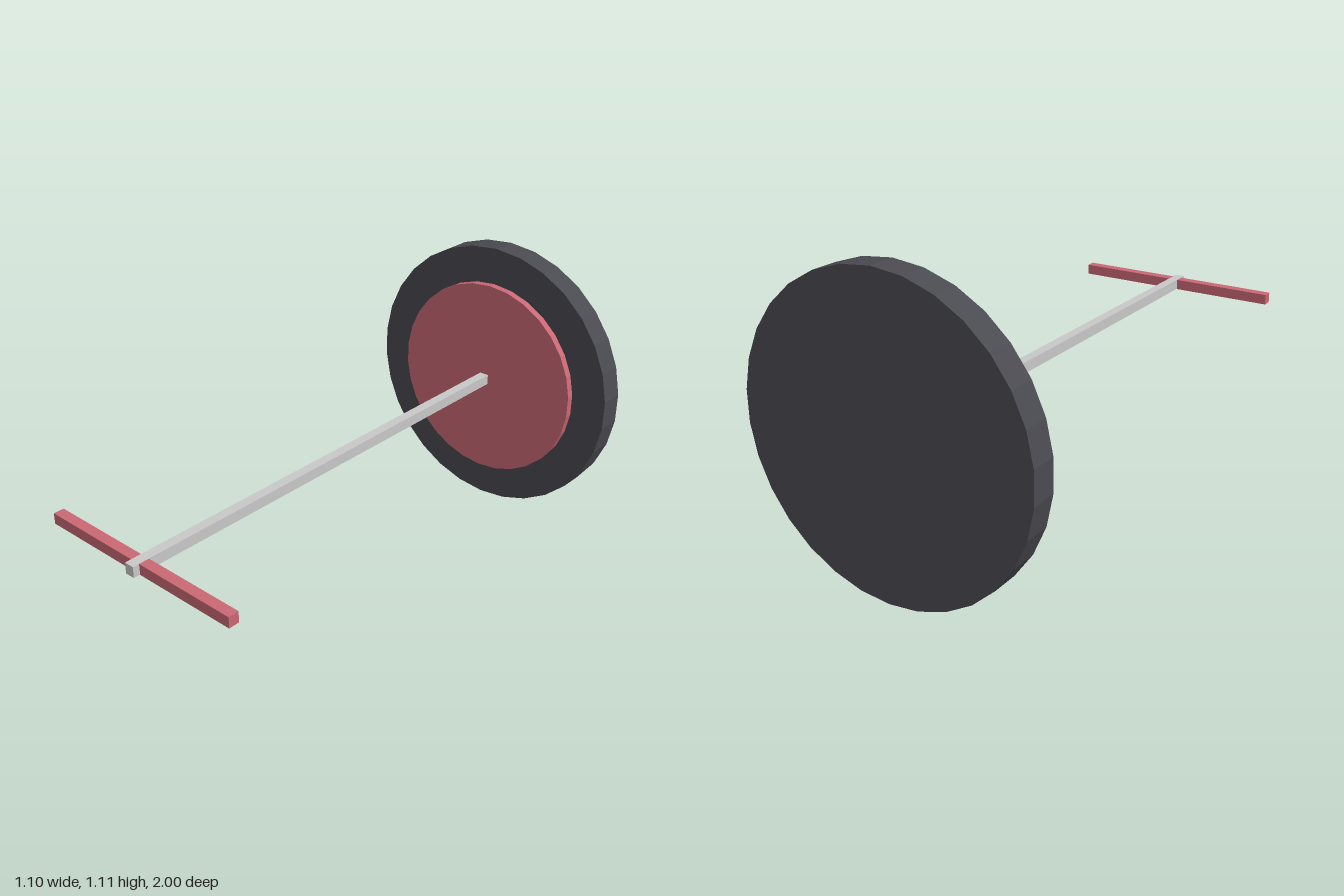
import * as THREE from 'three';

const material = (name, color, flatShading = true) => {
  const m = new THREE.MeshStandardMaterial({ color, flatShading });
  m.name = name;
  return m;
};

export function createModel() {
  const group = new THREE.Group();
  const charcoal = material('charcoal', 0x4a4a51);
  const red = material('red', 0xca6874);
  const grey = material('grey', 0xc8c8c8);
  const axisY = 0.554;

  const add = (name, geometry, mat, y, z) => {
    const mesh = new THREE.Mesh(geometry, mat);
    mesh.name = name;
    mesh.position.set(0, y, z);
    group.add(mesh);
  };
  // 30-sided disc facing the front
  const disc = (radius, depth) =>
    new THREE.CylinderGeometry(radius, radius, depth, 30).rotateX(Math.PI / 2);

  // Large base wheel with a raised plate
  add('baseDisc', disc(0.554, 0.1), charcoal, axisY, -0.95);
  add('raisedDisc', disc(0.407, 0.03), red, axisY, -0.885);

  // Square rod running forward from the plate
  add('rod', new THREE.BoxGeometry(0.038, 0.041, 1.87), grey, axisY + 0.001, 0.065);

  // Crossbar near the tip, a hair lower than the rod
  add('crossbar', new THREE.BoxGeometry(0.85, 0.041, 0.04), red, axisY, 0.955);

  return group;
}
